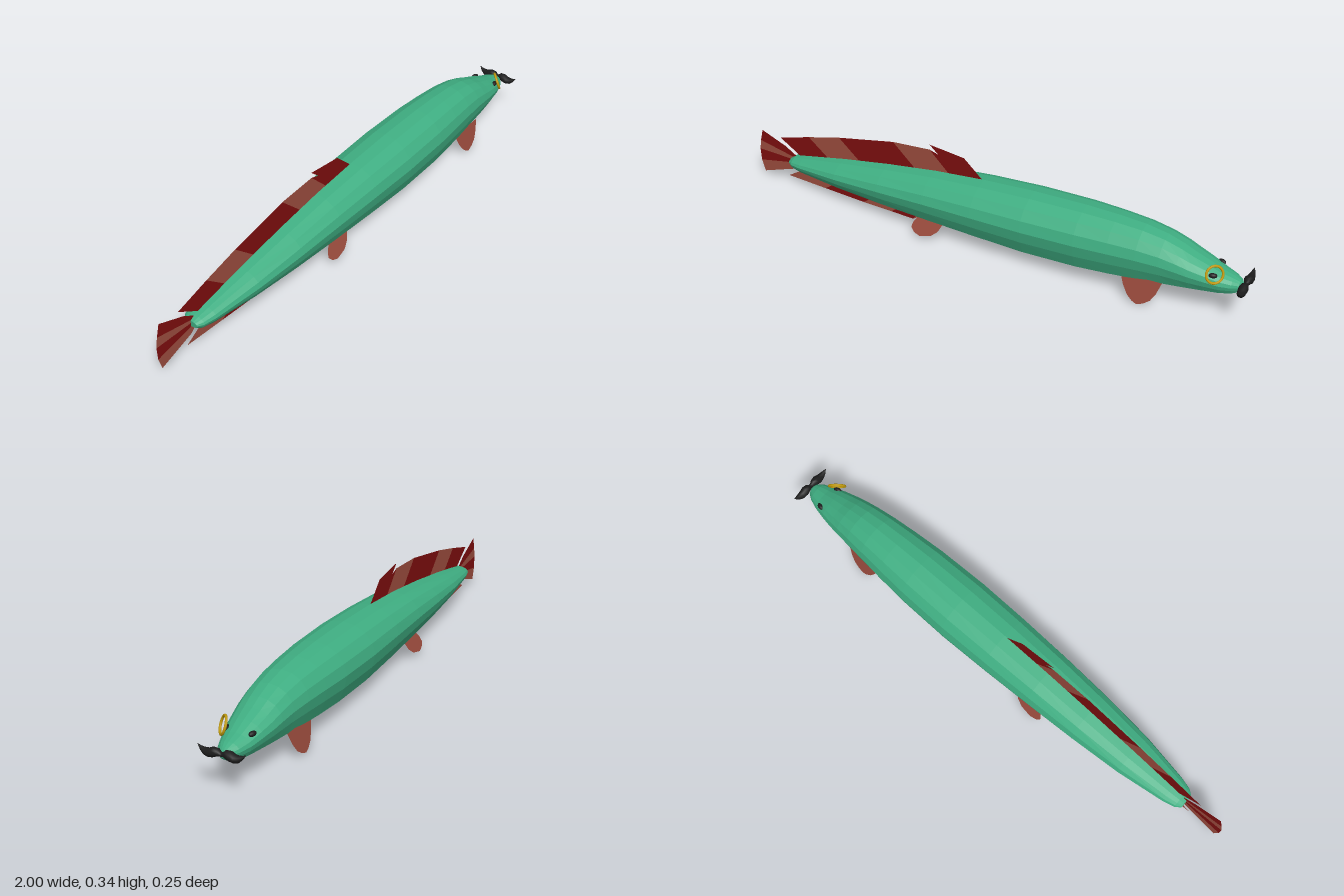
import * as THREE from 'three';

const mat = (name, color, extra = {}) => {
  const m = new THREE.MeshStandardMaterial({ color, ...extra });
  m.name = name;
  return m;
};

// Skin a list of rings, capped at both ends; rings run counterclockwise seen from the far end
function loft(rings) {
  const n = rings[0].length, pos = [], idx = [];
  rings.forEach(r => r.forEach(p => pos.push(...p)));
  for (let i = 0; i < rings.length - 1; i++) {
    for (let j = 0; j < n; j++) {
      const a = i * n + j, d = i * n + (j + 1) % n, b = a + n, c = d + n;
      idx.push(a, d, c, a, c, b);
    }
  }
  const last = (rings.length - 1) * n;
  for (let j = 1; j < n - 1; j++) {
    idx.push(0, j + 1, j, last, last + j, last + j + 1);
  }
  const g = new THREE.BufferGeometry();
  g.setAttribute('position', new THREE.Float32BufferAttribute(pos, 3));
  g.setIndex(idx);
  g.computeVertexNormals();
  return g;
}

export function createModel() {
  const green = mat('green skin', 0x3fae82, { flatShading: true });
  const dark = mat('dark red fin', 0x7c0e0e, { side: THREE.DoubleSide });
  const light = mat('light red fin', 0x9a4b3d, { side: THREE.DoubleSide });
  const gold = mat('gold', 0xc09a0c);
  const black = mat('black', 0x1c1c1c);

  const model = new THREE.Group();
  const add = (name, geometry, material, parent = model) => {
    const mesh = new THREE.Mesh(geometry, material);
    mesh.name = name;
    parent.add(mesh);
    return mesh;
  };
  const flat = pts => new THREE.ShapeGeometry(
    new THREE.Shape(pts.map(p => new THREE.Vector2(...p))));

  // Body: one half section (width, height), mirrored and scaled at each station
  const half = [[0, 1], [0.37, 0.97], [0.69, 0.88], [0.91, 0.73], [1, 0.55],
    [0.92, 0.34], [0.72, 0.09], [0.4, 0.025], [0, 0]];
  const section = [...half, ...half.slice(1, -1).reverse().map(([z, y]) => [-z, y])];
  const stations = [ // x, bottom, top, half width
    [-0.845, 0.097, 0.12, 0.028], [-0.825, 0.088, 0.132, 0.043],
    [-0.78, 0.083, 0.143, 0.055], [-0.6, 0.075, 0.18, 0.083],
    [-0.4, 0.067, 0.215, 0.1], [-0.2, 0.061, 0.244, 0.111],
    [0, 0.056, 0.264, 0.119], [0.2, 0.052, 0.277, 0.123],
    [0.4, 0.057, 0.282, 0.118], [0.52, 0.065, 0.28, 0.109],
    [0.62, 0.074, 0.274, 0.1], [0.7, 0.083, 0.26, 0.091],
    [0.76, 0.09, 0.24, 0.084], [0.8, 0.095, 0.222, 0.078],
    [0.85, 0.1, 0.203, 0.068], [0.9, 0.104, 0.182, 0.055],
    [0.94, 0.11, 0.17, 0.04], [0.962, 0.118, 0.16, 0.025],
    [0.97, 0.128, 0.15, 0.012]];
  add('body', loft(stations.map(([x, lo, hi, w]) =>
    section.map(([z, y]) => [x, lo + (hi - lo) * y, z * w]))), green);

  // Striped fins: each stripe spans neighbouring [outer x, y, inner x, y] spokes
  const stripes = (name, spokes, first) => {
    const fin = new THREE.Group();
    fin.name = name;
    for (let i = 0; i < spokes.length - 1; i++) {
      const [ax, ay, bx, by] = spokes[i], [cx, cy, dx, dy] = spokes[i + 1];
      add('finStripe', flat([[ax, ay], [bx, by], [dx, dy], [cx, cy]]),
        (i + first) % 2 ? light : dark, fin);
    }
    model.add(fin);
  };
  stripes('dorsalFin', [
    [-0.895, 0.192, -0.77, 0.11], [-0.76, 0.231, -0.64, 0.13],
    [-0.62, 0.267, -0.49, 0.15], [-0.38, 0.315, -0.24, 0.18],
    [-0.225, 0.326, -0.1, 0.2], [-0.18, 0.312, -0.06, 0.2]], 0);
  add('dorsalFinTip', flat([[-0.18, 0.312], [-0.06, 0.2], [-0.1, 0.255]]), dark);
  add('frontDorsalFin', flat([[-0.225, 0.347], [-0.083, 0.33], [-0.01, 0.262],
    [0, 0.2], [-0.08, 0.2], [-0.13, 0.262]]), dark);
  stripes('bellyFin', [
    [-0.87, 0.03, -0.74, 0.11], [-0.7, 0.02, -0.57, 0.11],
    [-0.525, 0.01, -0.39, 0.11], [-0.4, 0.006, -0.28, 0.11],
    [-0.305, 0.003, -0.22, 0.11]], 1);
  add('bellyFinTip', flat([[-0.305, 0.003], [-0.255, 0.034], [-0.22, 0.11]]), light);
  stripes('tailFin', [
    [-0.98, 0.203, -0.82, 0.125], [-0.993, 0.155, -0.82, 0.116],
    [-1, 0.115, -0.82, 0.108], [-0.998, 0.065, -0.82, 0.1],
    [-0.985, 0.018, -0.82, 0.09]], 0);
  add('tailUpperEdge', flat([[-0.98, 0.203], [-0.875, 0.16], [-0.82, 0.125]]), dark);
  add('tailLowerEdge', flat([[-0.985, 0.018], [-0.82, 0.09], [-0.845, 0.066]]), light);

  // Paired fins, splayed outward below the belly
  const sideFin = (name, outline, z, tilt) => {
    for (const side of [1, -1]) {
      const fin = add(name + (side > 0 ? 'Front' : 'Back'), flat(outline), light);
      fin.position.set(0, 0.09, side * z);
      fin.rotation.x = -side * tilt;
    }
  };
  sideFin('pectoralFin', [[0.565, 0.01], [0.58, -0.03], [0.6, -0.063], [0.62, -0.08],
    [0.637, -0.087], [0.66, -0.078], [0.683, -0.06], [0.7, -0.03], [0.715, 0.015]], 0.074, 0.22);
  sideFin('pelvicFin', [[-0.22, 0.01], [-0.25, -0.035], [-0.255, -0.055], [-0.24, -0.072],
    [-0.215, -0.08], [-0.17, -0.068], [-0.145, -0.045], [-0.12, 0.01]], 0.074, 0.38);

  // Eyes
  for (const side of [1, -1]) {
    const eye = add(side > 0 ? 'eyeFront' : 'eyeBack', new THREE.SphereGeometry(1, 12, 8), black);
    eye.scale.set(0.015, 0.009, 0.009);
    eye.position.set(0.878, 0.178, side * 0.046);
    eye.rotation.y = side * 0.3;
  }

  // Monocle ring
  const ring = add('monocle', new THREE.TorusGeometry(0.03, 0.0045, 8, 28), gold);
  ring.position.set(0.886, 0.189, 0.053);
  ring.quaternion.setFromUnitVectors(new THREE.Vector3(0, 0, 1),
    new THREE.Vector3(0.62, 0.33, 0.71).normalize());

  // Moustache: tapered curl mirrored about the middle
  const curl = [[0.004, 0.147, 0.008], [0.014, 0.151, 0.013], [0.03, 0.148, 0.017],
    [0.045, 0.143, 0.015], [0.06, 0.145, 0.012], [0.073, 0.152, 0.007], [0.084, 0.163, 0.001]];
  const whole = [...curl.map(([z, y, r]) => [-z, y, r]).reverse(), ...curl];
  add('moustache', loft(whole.map(([z, y, r]) => Array.from({ length: 10 }, (_, k) => {
    const a = k / 10 * Math.PI * 2;
    return [0.98 + r * Math.cos(a), y + r * Math.sin(a), z];
  }))), black);

  return model;
}
